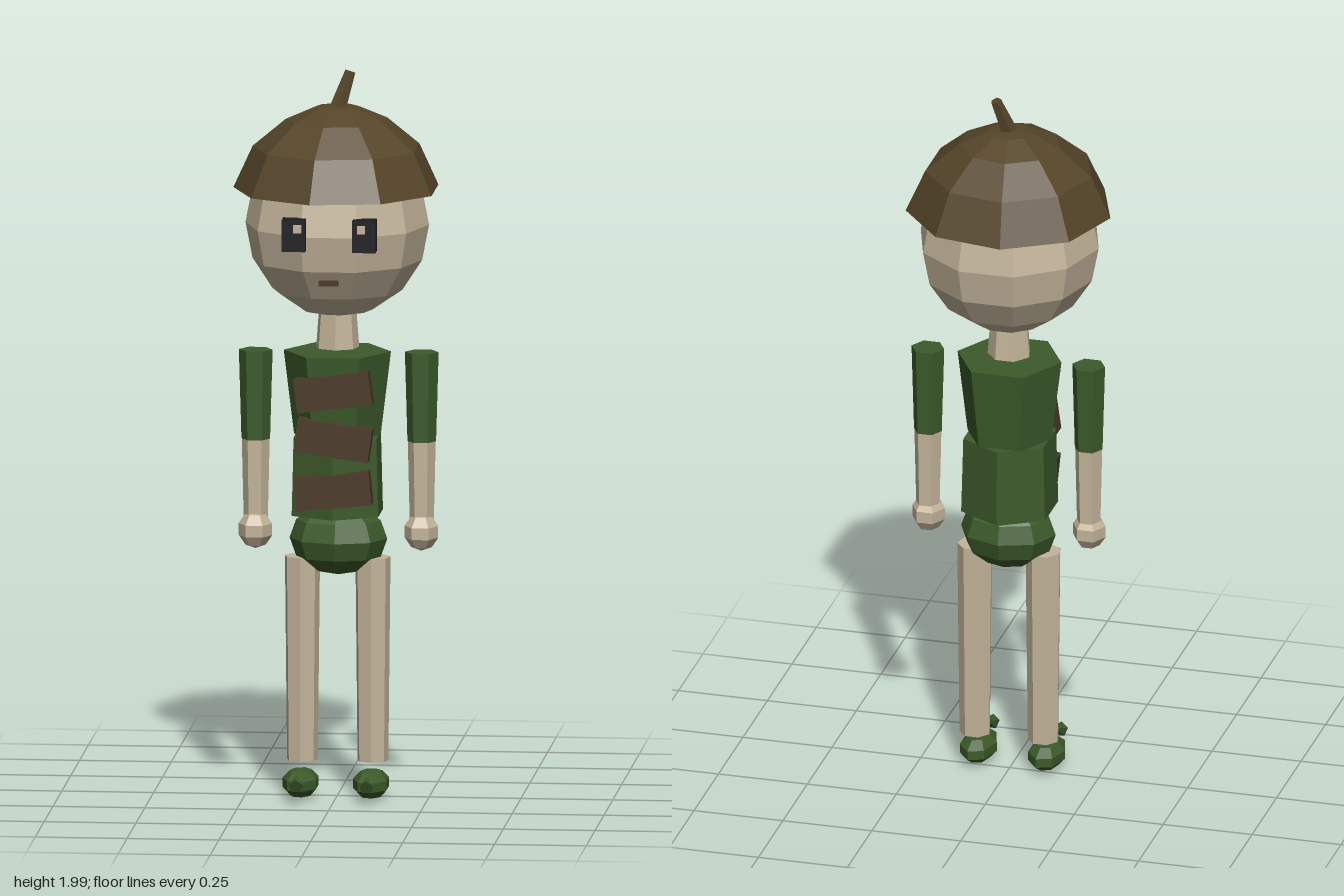
import * as THREE from 'three';

const mat = (name, color, side = THREE.FrontSide) => {
  const m = new THREE.MeshStandardMaterial({ color, flatShading: true, side });
  m.name = name;
  return m;
};

export function createModel() {
  const root = new THREE.Group();
  root.name = 'acornHeadedFigure';
  const skin = mat('paleWood', 0xc4b59b);
  const green = mat('leafGreen', 0x3c5a2a);
  const capBrown = mat('capBrown', 0x554529, THREE.DoubleSide);
  const strapBrown = mat('strapBrown', 0x4b3827);
  const black = mat('eyeBlack', 0x1d1d22);

  const add = (name, geo, material, x, y, z, parent = root) => {
    const mesh = new THREE.Mesh(geo, material);
    mesh.name = name;
    mesh.position.set(x, y, z);
    parent.add(mesh);
    return mesh;
  };
  // Tapered prism standing between two heights
  const post = (name, material, rTop, rBottom, yTop, yBottom, sides, x = 0, z = 0, turn = 0, parent = root) =>
    add(name, new THREE.CylinderGeometry(rTop, rBottom, yTop - yBottom, sides).rotateY(turn),
      material, x, (yTop + yBottom) / 2, z, parent);
  // Faceted ellipsoid
  const ball = (name, material, rx, ry, rz, w, h, x, y, z, parent = root) =>
    add(name, new THREE.SphereGeometry(1, w, h).scale(rx, ry, rz), material, x, y, z, parent);
  // Tapered prism between two points
  const limb = (name, material, a, b, ra, rb, sides, parent = root) => {
    const from = new THREE.Vector3(...a), to = new THREE.Vector3(...b);
    const dir = to.clone().sub(from);
    const mid = from.clone().lerp(to, 0.5);
    const mesh = add(name, new THREE.CylinderGeometry(rb, ra, dir.length(), sides), material, mid.x, mid.y, mid.z, parent);
    mesh.quaternion.setFromUnitVectors(new THREE.Vector3(0, 1, 0), dir.normalize());
    return mesh;
  };

  // Head and neck
  ball('head', skin, 0.25, 0.255, 0.257, 10, 8, 0, 1.58, 0);
  post('neck', skin, 0.052, 0.06, 1.345, 1.24, 7);

  // Nine-sided acorn cap with its stem
  const capProfile = [[0.283, 1.675], [0.23, 1.79], [0.14, 1.865], [0.06, 1.9], [0, 1.906]]
    .map(([r, y]) => new THREE.Vector2(r, y));
  add('cap', new THREE.LatheGeometry(capProfile, 9, -Math.PI / 2), capBrown, 0, 0, 0);
  limb('capStem', capBrown, [0, 1.89, 0.005], [0.034, 1.995, -0.02], 0.024, 0.015, 5);

  // Face
  for (const s of [-1, 1]) {
    const eye = new THREE.Group();
    eye.name = s > 0 ? 'leftEye' : 'rightEye';
    root.add(eye);
    add('eyeBlock', new THREE.BoxGeometry(0.064, 0.087, 0.05), black, s * 0.096 + 0.002, 1.588, 0.245, eye);
    add('eyeGlint', new THREE.BoxGeometry(0.022, 0.022, 0.009), skin, s * 0.087 + 0.004, 1.608, 0.274, eye);
  }
  add('mouth', new THREE.BoxGeometry(0.052, 0.013, 0.018), strapBrown, 0, 1.456, 0.248);

  // Torso and hips
  post('chest', green, 0.146, 0.118, 1.23, 1.0, 6, 0, -0.002, Math.PI / 6);
  post('waist', green, 0.13, 0.136, 1.0, 0.785, 6);
  ball('hips', green, 0.133, 0.1, 0.11, 8, 6, 0.003, 0.715, -0.002);

  // Three tilted bark straps across the front
  [[1.136, 0.13], [1.003, -0.14], [0.863, 0.1]].forEach(([y, tilt], i) => {
    const strap = add('chestStrap' + (i + 1), new THREE.BoxGeometry(0.205, 0.09, 0.055), strapBrown, 0, y, 0.108);
    strap.rotation.z = tilt;
  });

  // Arms and legs
  for (const s of [-1, 1]) {
    const side = s > 0 ? 'left' : 'right';
    const arm = new THREE.Group();
    arm.name = side + 'Arm';
    const leg = new THREE.Group();
    leg.name = side + 'Leg';
    root.add(arm, leg);

    const ax = s * 0.226 + 0.004;
    post('sleeve', green, 0.046, 0.039, 1.23, 0.985, 6, ax, 0, Math.PI / 6, arm);
    post('forearm', skin, 0.038, 0.033, 0.985, 0.77, 6, ax, 0, Math.PI / 6, arm);
    ball('hand', skin, 0.048, 0.052, 0.052, 6, 5, ax, 0.737, 0.008, arm);

    const lx = s * 0.096;
    post('legPost', skin, 0.049, 0.043, 0.665, 0.105, 7, lx, -0.002, 0, leg);
    ball('shoe', green, 0.052, 0.041, 0.087, 7, 5, lx, 0.048, 0.037, leg);
    // Curled toe flaring away from the shoe
    limb('shoeToe', green, [lx, 0.058, 0.172], [lx, 0.083, 0.118], 0.021, 0, 5, leg);
  }
  return root;
}
